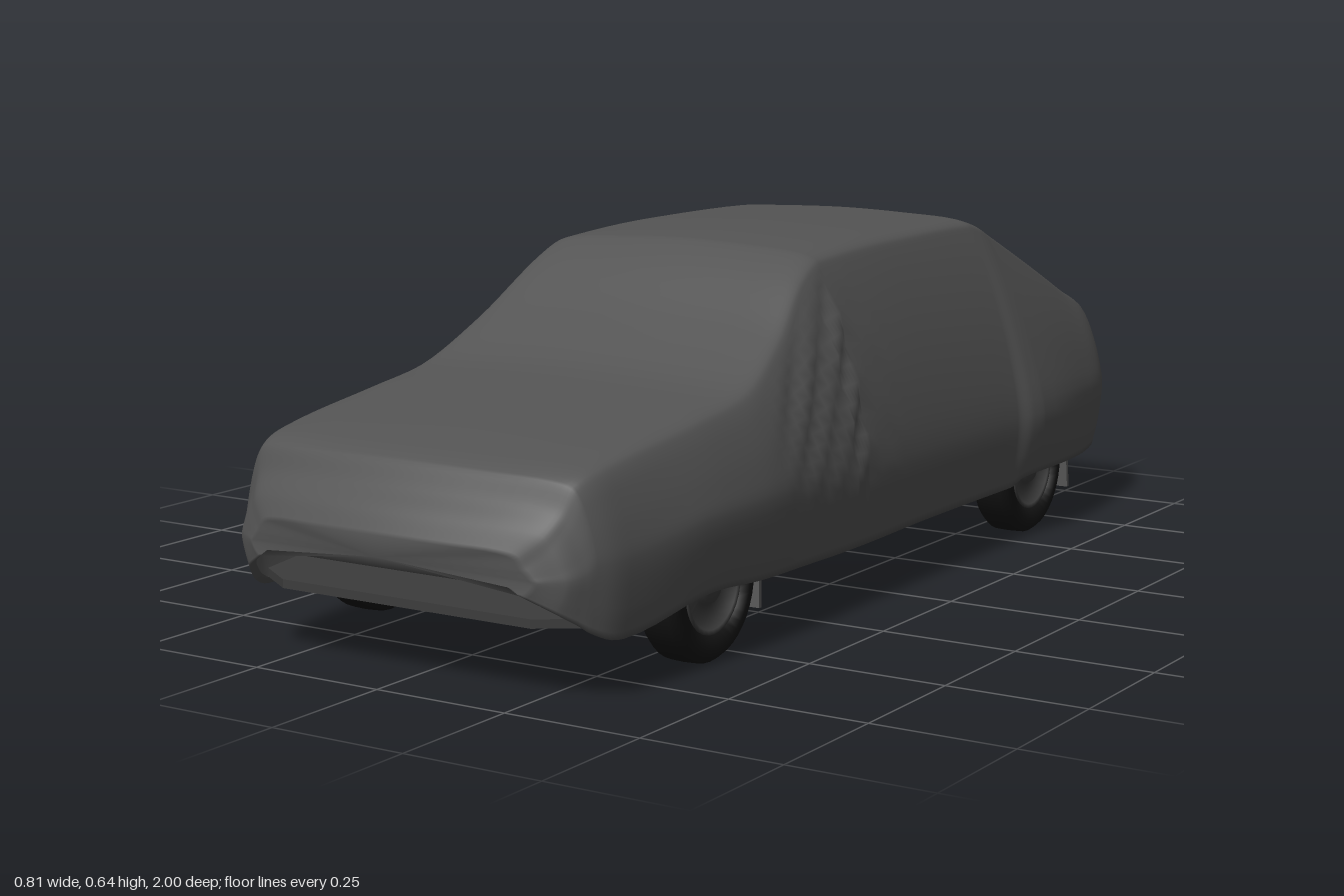
import * as THREE from 'three';

const paint = (color, side = THREE.FrontSide) => new THREE.MeshStandardMaterial({ color, side });
const coverMat = paint(0x545454, THREE.DoubleSide);
const panMat = paint(0x3c3c3c);
const partMat = paint(0x5a5a5a);
const tyreMat = paint(0x121212);
const rimMat = paint(0x3a3a3a);

function add(parent, name, geometry, material, x = 0, y = 0, z = 0) {
  const mesh = new THREE.Mesh(geometry, material);
  mesh.name = name;
  mesh.position.set(x, y, z);
  parent.add(mesh);
  return mesh;
}
const box = (p, name, w, h, d, x, y, z, m = partMat) => add(p, name, new THREE.BoxGeometry(w, h, d), m, x, y, z);
const pipe = (p, name, points, r, m = partMat) => add(p, name, new THREE.TubeGeometry(
  new THREE.CatmullRomCurve3(points.map(q => new THREE.Vector3(...q))), 32, r, 8), m);

// Cover stations: z, top, shoulder half-width, crown drop, belly half-width, hem half-width, hem height
const stations = [
  [-1.0, 0.22, 0.25, 0.012, 0.29, 0.27, 0.16],
  [-0.99, 0.29, 0.30, 0.01, 0.325, 0.30, 0.125],
  [-0.97, 0.388, 0.315, 0.01, 0.345, 0.32, 0.12],
  [-0.95, 0.418, 0.315, 0.012, 0.355, 0.335, 0.12],
  [-0.85, 0.47, 0.31, 0.015, 0.375, 0.355, 0.115],
  [-0.57, 0.606, 0.287, 0.015, 0.407, 0.385, 0.125],
  [-0.525, 0.626, 0.284, 0.015, 0.403, 0.382, 0.122],
  [-0.48, 0.636, 0.282, 0.015, 0.391, 0.378, 0.11],
  [-0.15, 0.643, 0.285, 0.02, 0.388, 0.375, 0.11],
  [0.1, 0.633, 0.288, 0.02, 0.39, 0.375, 0.107],
  [0.15, 0.615, 0.292, 0.02, 0.391, 0.375, 0.107],
  [0.3, 0.513, 0.325, 0.02, 0.393, 0.376, 0.11],
  [0.45, 0.442, 0.345, 0.02, 0.398, 0.38, 0.115],
  [0.6, 0.418, 0.345, 0.018, 0.395, 0.378, 0.125],
  [0.83, 0.382, 0.337, 0.012, 0.372, 0.358, 0.095],
  [0.92, 0.36, 0.325, 0.012, 0.354, 0.34, 0.115],
  [0.95, 0.318, 0.315, 0.01, 0.345, 0.33, 0.13],
  [0.98, 0.285, 0.30, 0.01, 0.33, 0.31, 0.15],
  [1.0, 0.25, 0.26, 0.01, 0.28, 0.26, 0.18],
];

// Overshoot-free cubic between stations i and i + 1
function blend(i, t) {
  const at = k => stations[Math.min(Math.max(k, 0), stations.length - 1)];
  const [a, b, c, d] = [at(i - 1), at(i), at(i + 1), at(i + 2)];
  const h = c[0] - b[0];
  const slope = (p, q, k) => (q[0] === p[0] ? 0 : (q[k] - p[k]) / (q[0] - p[0]));
  const tangent = (s1, s2) => (s1 * s2 <= 0 ? 0 : 2 * s1 * s2 / (s1 + s2));
  return b.map((v, k) => {
    if (k === 0) return v + h * t;
    const s = slope(b, c, k);
    const m0 = i === 0 ? s : tangent(slope(a, b, k), s);
    const m1 = i + 2 >= stations.length ? s : tangent(s, slope(c, d, k));
    const t2 = t * t, t3 = t2 * t;
    return (2 * t3 - 3 * t2 + 1) * v + (t3 - 2 * t2 + t) * h * m0
      + (3 * t2 - 2 * t3) * c[k] + (t3 - t2) * h * m1;
  });
}

// One cross-section from the -x hem over the top to the +x hem
function section([z, top, shoulder, drop, belly, hem, low]) {
  const sy = top - drop - 0.02;
  const by = Math.min(0.25, low + (sy - low) * 0.5);
  const side = (t, bulge) => [shoulder + (belly - shoulder) * t + bulge * (sy - by) / 0.35, sy + (by - sy) * t];
  const half = [[shoulder * 0.5, top - drop * 0.25], [shoulder * 0.85, top - drop * 0.65],
    [shoulder * 0.96, top - drop - 0.004], [shoulder, sy], side(0.3, 0.014), side(0.65, 0.015),
    [belly, by], [belly * 0.6 + hem * 0.4, low + (by - low) * 0.4], [hem, low]];
  const ring = [...half.map(([x, y]) => [-x, y]).reverse(), [0, top], ...half];
  const pts = new THREE.CatmullRomCurve3(ring.map(([x, y]) => new THREE.Vector3(x, y, 0))).getPoints(72);
  const lip = s => new THREE.Vector3(s * (hem - 0.018), low + 0.012, 0);
  const ss = THREE.MathUtils.smoothstep;
  return [lip(-1), ...pts, lip(1)].map(p => {
    // hanging folds beside the windscreen
    const flow = p.y < sy ? ss(sy - p.y, 0, 0.06) * ss(p.y, 0.17, 0.34) : 0;
    const zone = ss(z, -0.02, 0.1) * (1 - ss(z, 0.28, 0.42));
    p.x += Math.sign(p.x) * 0.006 * flow * zone * Math.sin((z + 0.75 * (p.y - 0.4)) * 75);
    // bowed nose and tail
    const bow = (p.x / 0.33) ** 2;
    p.z = z - 0.045 * bow * ss(z, 0.84, 1) + 0.012 * bow * ss(-z, 0.92, 1);
    return p;
  });
}

function coverGeometry() {
  const rings = [], steps = 6;
  for (let i = 0; i < stations.length - 1; i++)
    for (let s = 0; s < steps; s++) rings.push(section(blend(i, s / steps)));
  rings.push(section(stations[stations.length - 1]));
  const n = rings[0].length, pos = [], idx = [];
  rings.forEach(r => r.forEach(p => pos.push(p.x, p.y, p.z)));
  for (let i = 0; i < rings.length - 1; i++)
    for (let j = 0; j < n - 1; j++) {
      const a = i * n + j, b = a + n;
      idx.push(a, b, a + 1, b, b + 1, a + 1);
    }
  // closed ends
  const last = (rings.length - 1) * n, tail = pos.length / 3;
  pos.push(0, 0.19, -1, 0, 0.215, 1);
  for (let j = 0; j < n; j++) {
    const k = (j + 1) % n;
    idx.push(tail, j, k, tail + 1, last + k, last + j);
  }
  const g = new THREE.BufferGeometry();
  g.setAttribute('position', new THREE.Float32BufferAttribute(pos, 3));
  g.setIndex(idx);
  g.computeVertexNormals();
  return g;
}

// Flat floor with cut-outs for the four wheels
function floorGeometry() {
  const half = [[0.25, -0.96], [0.33, -0.93], [0.35, -0.77], [0.27, -0.75], [0.27, -0.45], [0.365, -0.43],
    [0.365, 0.41], [0.27, 0.43], [0.27, 0.73], [0.35, 0.75], [0.325, 0.88], [0.25, 0.93]];
  const outline = [...half, ...half.map(([x, z]) => [-x, z]).reverse()];
  const g = new THREE.ExtrudeGeometry(new THREE.Shape(outline.map(([x, z]) => new THREE.Vector2(x, -z))),
    { depth: 0.015, bevelEnabled: false });
  return g.rotateX(-Math.PI / 2);
}

function createWheel() {
  const wheel = new THREE.Group();
  wheel.name = 'wheel';
  const tyre = [[0.08, -0.03], [0.105, -0.039], [0.122, -0.035], [0.13, -0.025], [0.131, 0],
    [0.13, 0.025], [0.122, 0.035], [0.105, 0.039], [0.08, 0.03], [0.08, -0.03]];
  add(wheel, 'tyre', new THREE.LatheGeometry(tyre.map(p => new THREE.Vector2(...p)), 40), tyreMat);
  const rim = [[0, -0.02], [0.06, -0.02], [0.07, -0.03], [0.083, -0.033], [0.083, 0.033],
    [0.075, 0.032], [0.068, 0.015], [0.035, 0.02], [0.03, 0.03], [0, 0.03]];
  add(wheel, 'rim', new THREE.LatheGeometry(rim.map(p => new THREE.Vector2(...p)), 32), rimMat);
  return wheel;
}

export function createModel() {
  const car = new THREE.Group();
  car.name = 'coveredCar';
  add(car, 'fabricCover', coverGeometry(), coverMat);

  const under = new THREE.Group();
  under.name = 'underbody';
  car.add(under);
  add(under, 'floorPan', floorGeometry(), panMat, 0, 0.118, 0);

  for (const s of [-1, 1]) {
    // wheels, wells and mud flaps
    for (const z of [0.58, -0.6]) {
      const wheel = createWheel();
      wheel.rotation.z = -s * Math.PI / 2;
      wheel.position.set(s * 0.333, 0.131, z);
      car.add(wheel);
      box(under, 'wheelWellWall', 0.01, 0.16, 0.3, s * 0.265, 0.205, z, panMat);
      const flap = box(under, 'mudFlap', 0.12, 0.065, 0.008, s * 0.3, 0.092, z === 0.58 ? 0.425 : -0.775);
      flap.rotation.x = z === 0.58 ? 0 : 0.12;
    }
    // sills, chassis rails and floor ribs
    box(under, 'sill', 0.03, 0.02, 0.82, s * 0.345, 0.115, -0.01);
    box(under, 'frontRail', 0.04, 0.025, 0.6, s * 0.19, 0.11, 0.52);
    box(under, 'rearRail', 0.035, 0.02, 0.5, s * 0.2, 0.112, -0.68);
    for (const x of [0.11, 0.25]) box(under, 'floorRib', 0.02, 0.008, 0.3, s * x, 0.115, 0.1, panMat);
    box(under, 'rearFloorPanel', 0.2, 0.008, 0.22, s * 0.2, 0.115, -0.22, panMat);
    // suspension
    pipe(under, 'frontArm', [[s * 0.1, 0.11, 0.5], [s * 0.2, 0.112, 0.55], [s * 0.3, 0.125, 0.58]], 0.012);
    pipe(under, 'trailingArm', [[s * 0.22, 0.115, -0.36], [s * 0.23, 0.11, -0.48], [s * 0.25, 0.125, -0.6]], 0.011);
    const spring = add(under, 'damper', new THREE.CylinderGeometry(0.02, 0.02, 0.12, 12), partMat, s * 0.235, 0.17, -0.62);
    spring.rotation.z = s * 0.15;
  }

  // axles and crossmembers
  const axle = add(under, 'rearAxle', new THREE.CylinderGeometry(0.017, 0.017, 0.6, 12), partMat, 0, 0.125, -0.6);
  axle.rotation.z = Math.PI / 2;
  add(under, 'differential', new THREE.SphereGeometry(0.04, 16, 12), partMat, 0, 0.125, -0.6);
  box(under, 'frontCrossmember', 0.44, 0.025, 0.06, 0, 0.105, 0.55);
  box(under, 'noseCrossmember', 0.5, 0.02, 0.04, 0, 0.112, 0.8);
  box(under, 'middleCrossmember', 0.66, 0.014, 0.04, 0, 0.112, -0.08);
  box(under, 'rearCrossmember', 0.5, 0.016, 0.04, 0, 0.112, -0.42);

  // drivetrain, tank and exhaust
  box(under, 'enginePan', 0.16, 0.035, 0.2, 0, 0.102, 0.63);
  box(under, 'gearbox', 0.1, 0.025, 0.2, 0, 0.107, 0.4);
  pipe(under, 'driveShaft', [[0, 0.115, 0.3], [0, 0.115, -0.1], [0, 0.122, -0.58]], 0.012);
  box(under, 'fuelTank', 0.26, 0.02, 0.2, 0.03, 0.11, -0.82, panMat);
  pipe(under, 'exhaustPipe', [[-0.08, 0.11, 0.5], [-0.07, 0.105, 0.2], [-0.07, 0.105, -0.2],
    [-0.12, 0.11, -0.45], [-0.13, 0.105, -0.7], [-0.2, 0.115, -0.94]], 0.009);
  for (const [z, x] of [[0.12, -0.07], [-0.8, -0.16]]) {
    const muffler = add(under, 'muffler', new THREE.CylinderGeometry(0.03, 0.03, 0.19, 16), partMat, x, 0.114, z);
    muffler.rotation.x = Math.PI / 2;
    muffler.scale.z = 0.75;
  }
  return car;
}
